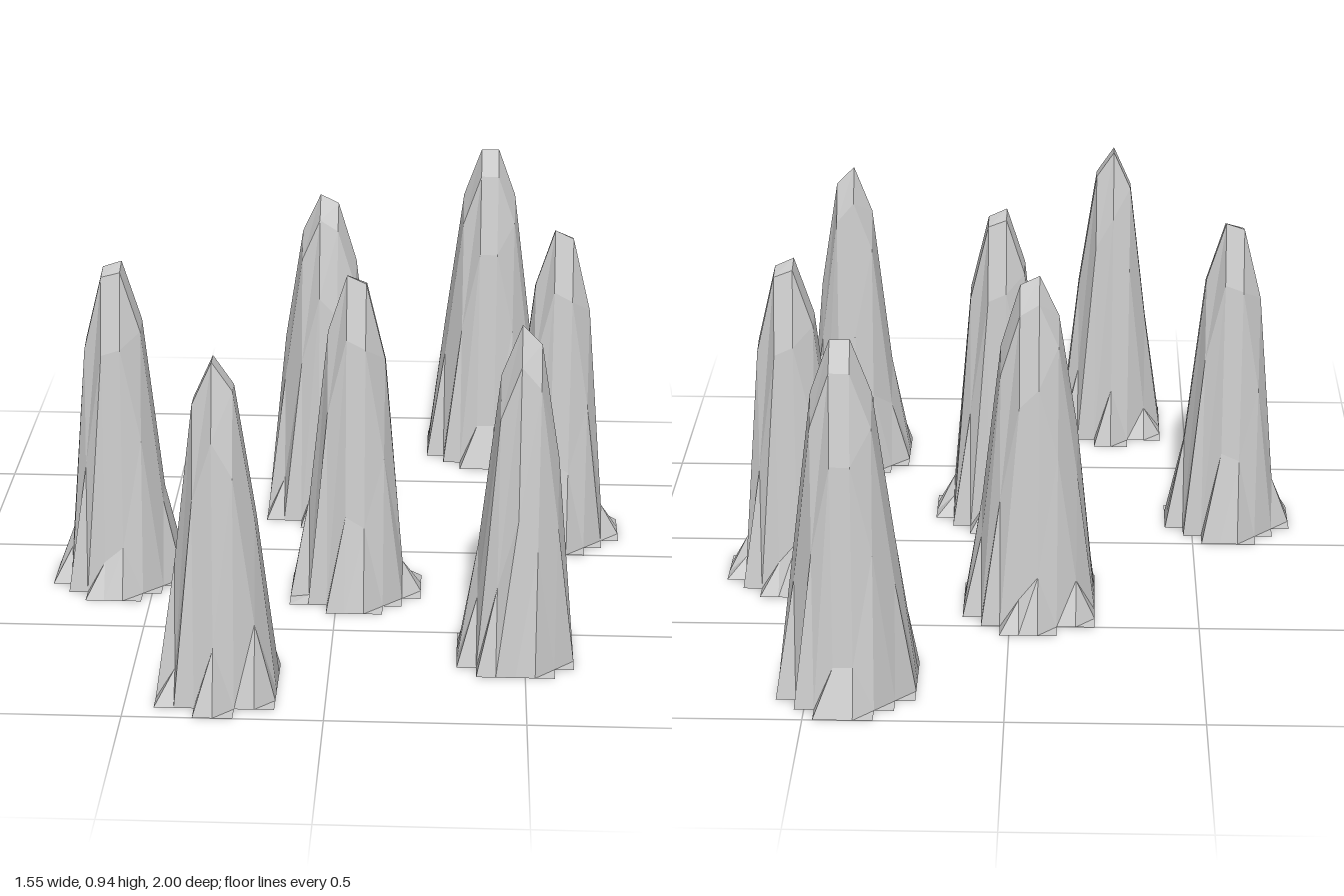
import * as THREE from 'three';

const CELL = 0.05;

// Shared spike profile: radius -> relative height
const PROFILE = [[0, 1], [0.025, 0.985], [0.05, 0.935], [0.075, 0.84], [0.1, 0.71],
  [0.125, 0.43], [0.15, 0.17], [0.158, 0]];

function profileHeight(r) {
  for (let i = 1; i < PROFILE.length; i++) {
    const [r0, h0] = PROFILE[i - 1], [r1, h1] = PROFILE[i];
    if (r <= r1) return THREE.MathUtils.lerp(h0, h1, (r - r0) / (r1 - r0));
  }
  return 0;
}

// Spikes: centre x, centre z, height, width factor
const SPIKES = [
  [0.40, -0.80, 0.95, 1.0],
  [-0.06, -0.35, 0.94, 1.0],
  [0.593, -0.17, 0.925, 0.87],
  [-0.595, 0.17, 0.925, 0.87],
  [0.043, 0.23, 0.925, 0.87],
  [0.485, 0.60, 0.905, 0.82],
  [-0.27, 0.825, 0.905, 0.84],
];

// Each spike is a raised patch of a square grid; flat cells are left out
function spikeGeometry(cx, cz, height, width) {
  const point = (i, k) => {
    const x = (i + 0.5) * CELL, z = k * CELL;
    return [x, height * profileHeight(Math.hypot(x - cx, z - cz) / width), z];
  };
  const i0 = Math.round(cx / CELL - 0.5), k0 = Math.round(cz / CELL);
  const positions = [];
  for (let i = i0 - 6; i < i0 + 6; i++) {
    for (let k = k0 - 6; k < k0 + 6; k++) {
      const a = point(i, k), b = point(i, k + 1), c = point(i + 1, k + 1), d = point(i + 1, k);
      if (Math.max(a[1], b[1], c[1], d[1]) <= 0) continue;
      positions.push(...a, ...b, ...d, ...b, ...c, ...d);
    }
  }
  const geometry = new THREE.BufferGeometry();
  geometry.setAttribute('position', new THREE.Float32BufferAttribute(positions, 3));
  geometry.computeVertexNormals();
  return geometry;
}

export function createModel() {
  const group = new THREE.Group();
  group.name = 'spikeField';
  const material = new THREE.MeshStandardMaterial({
    color: 0xcccccc, flatShading: true, side: THREE.DoubleSide,
  });
  SPIKES.forEach((spike, n) => {
    const mesh = new THREE.Mesh(spikeGeometry(...spike), material);
    mesh.name = `spike${n + 1}`;
    group.add(mesh);
  });
  return group;
}
